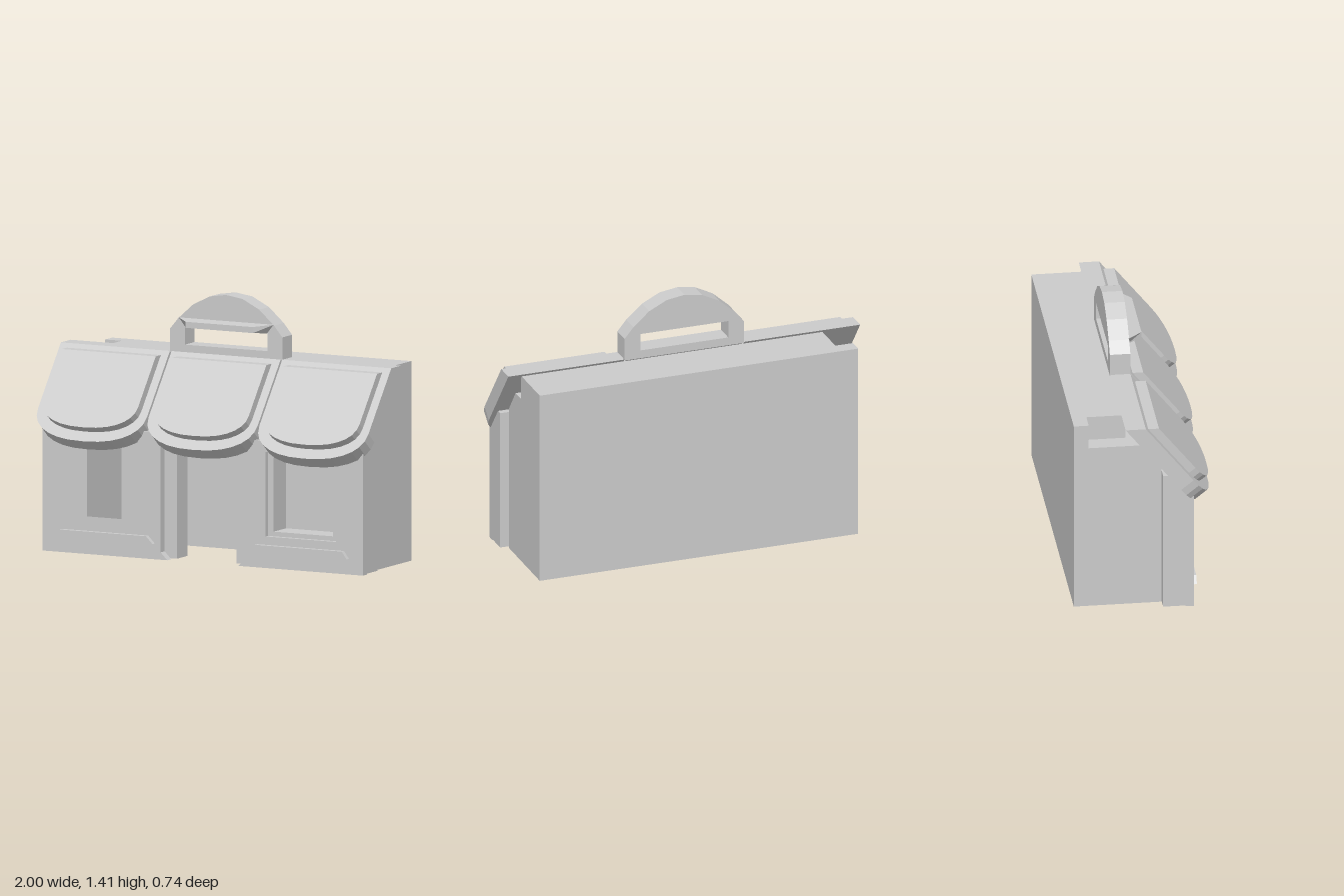
import * as THREE from 'three';

const mat = new THREE.MeshStandardMaterial({ color: 0xcccccc, flatShading: true });
const pts = (a) => a.map(([x, y]) => new THREE.Vector2(x, y));
const rect = (x0, y0, x1, y1) => [[x0, y0], [x1, y0], [x1, y1], [x0, y1]];

// Extruded outline with optional holes
function plate(points, depth, ...holes) {
  const shape = new THREE.Shape(pts(points));
  holes.forEach((h) => shape.holes.push(new THREE.Path(pts(h))));
  return new THREE.ExtrudeGeometry(shape, { depth, bevelEnabled: false });
}

function add(parent, name, geo, x = 0, y = 0, z = 0) {
  const m = new THREE.Mesh(geo, mat);
  m.name = name;
  m.position.set(x, y, z);
  parent.add(m);
  return m;
}

function addBox(parent, name, [x0, x1], [y0, y1], [z0, z1]) {
  return add(parent, name, new THREE.BoxGeometry(x1 - x0, y1 - y0, z1 - z0),
    (x0 + x1) / 2, (y0 + y1) / 2, (z0 + z1) / 2);
}

// Side wall: profile in (z, y), extruded along x
function sideWall(parent, name, profile, x) {
  const geo = plate(profile.map(([z, y]) => [-z, y]), 0.1);
  geo.rotateY(Math.PI / 2);
  add(parent, name, geo, x);
}

// Awning layer: round-ended sheet laid on the slope, its upper end cut level
const SLOPE = { z: 0.305, y: 0.575, sin: 0.782, cos: 0.623 };
function awningLayer(halfWidth, tip, rise, n0, n1, top) {
  const outline = [];
  const steps = 14;
  for (let i = 0; i <= steps; i++) {
    const a = Math.PI + (Math.PI * i) / steps;
    const c = Math.cos(a);
    // slightly squared ellipse
    outline.push([halfWidth * Math.sign(c) * Math.abs(c) ** 0.85,
      tip + rise - rise * Math.abs(Math.sin(a)) ** 0.9]);
  }
  outline.push([halfWidth, 1], [-halfWidth, 1]);
  const geo = plate(outline, n1 - n0);
  const p = geo.attributes.position;
  const { sin, cos } = SLOPE;
  for (let i = 0; i < p.count; i++) {
    const n = n0 + p.getZ(i);
    let v = p.getY(i);
    if (v > 0.99) v = (top - SLOPE.y - n * cos) / sin;
    p.setXYZ(i, p.getX(i), SLOPE.y + v * sin + n * cos, SLOPE.z - v * cos + n * sin);
  }
  geo.computeVertexNormals();
  return geo;
}

export function createModel() {
  const model = new THREE.Group();
  model.name = 'shopFront';

  // Hollow body, open underneath and at the door
  const body = new THREE.Group();
  body.name = 'body';
  model.add(body);
  addBox(body, 'backWall', [-0.89, 0.92], [0, 1.075], [-0.37, -0.29]);
  addBox(body, 'topBlock', [-0.79, 0.92], [0.94, 1.075], [-0.29, -0.08]);
  addBox(body, 'ceiling', [-0.79, 0.82], [0.9, 0.94], [-0.29, 0]);
  const profile = [[-0.29, 0], [0.1, 0], [0.1, 0.81], [0, 0.94], [-0.29, 0.94]];
  sideWall(body, 'rightWall', profile, -0.89);
  sideWall(body, 'leftWall', profile, 0.82);

  // Front panels with stepped windows and sills, mirrored about the door
  for (const s of [-1, 1]) {
    const panel = new THREE.Group();
    panel.name = s > 0 ? 'leftFrontPanel' : 'rightFrontPanel';
    model.add(panel);
    const flip = (a) => a.map(([x, y]) => [s * x, y]);
    const inner = flip(rect(0.415, 0.2, 0.775, 0.6));
    const outer = flip(rect(0.38, 0.175, 0.805, 0.63));
    add(panel, 'wall', plate(flip(rect(0.18, 0.01, 0.97, 0.79)), 0.12, inner), 0, 0, 0.1);
    const face = [[0.215, 0.005], [0.97, 0.005], [0.97, 0.69], [0.255, 0.69], [0.255, 0.045]];
    add(panel, 'windowFrame', plate(flip(rect(0.36, 0.16, 0.82, 0.65)), 0.02, inner), 0, 0, 0.22);
    add(panel, 'facing', plate(flip(face), 0.045, outer), 0, 0, 0.22);
    const sill = [[0.29, 0.09], [0.885, 0.09], [0.855, 0.13], [0.33, 0.13]];
    add(panel, 'sill', plate(flip(sill), 0.03), 0, 0, 0.262);
  }

  // Three scalloped awnings, each with a raised sheet
  [-0.67, 0, 0.67].forEach((x, i) => {
    const awning = new THREE.Group();
    awning.name = ['rightAwning', 'middleAwning', 'leftAwning'][i];
    awning.position.x = x;
    model.add(awning);
    add(awning, 'awningBase', awningLayer(0.33, 0, 0.18, 0, 0.085, 1.09));
    add(awning, 'awningSheet', awningLayer(0.285, 0.06, 0.15, 0.08, 0.13, 1.067));
  });

  // Arched sign frame above the middle awning
  const sign = new THREE.Group();
  sign.name = 'archSign';
  model.add(sign);
  const half = [[0.34, 1.085], [0.34, 1.21], [0.29, 1.27], [0.2, 1.35], [0.1, 1.4]];
  const arch = [...half, [0, 1.415], ...half.map(([x, y]) => [-x, y]).reverse()];
  add(sign, 'arch', plate(arch, 0.11, rect(-0.25, 1.13, 0.25, 1.225)), 0, 0, -0.107);

  // Small tapered visor over the opening
  const visor = new THREE.BoxGeometry(0.58, 0.05, 0.08);
  const p = visor.attributes.position;
  for (let i = 0; i < p.count; i++) {
    if (p.getZ(i) > 0) p.setXY(i, p.getX(i) * 0.7, p.getY(i) * 0.65);
    else if (p.getY(i) < 0) p.setX(i, p.getX(i) * 0.86);
  }
  visor.computeVertexNormals();
  add(sign, 'visor', visor, 0, 1.25, 0.04);

  return model;
}
